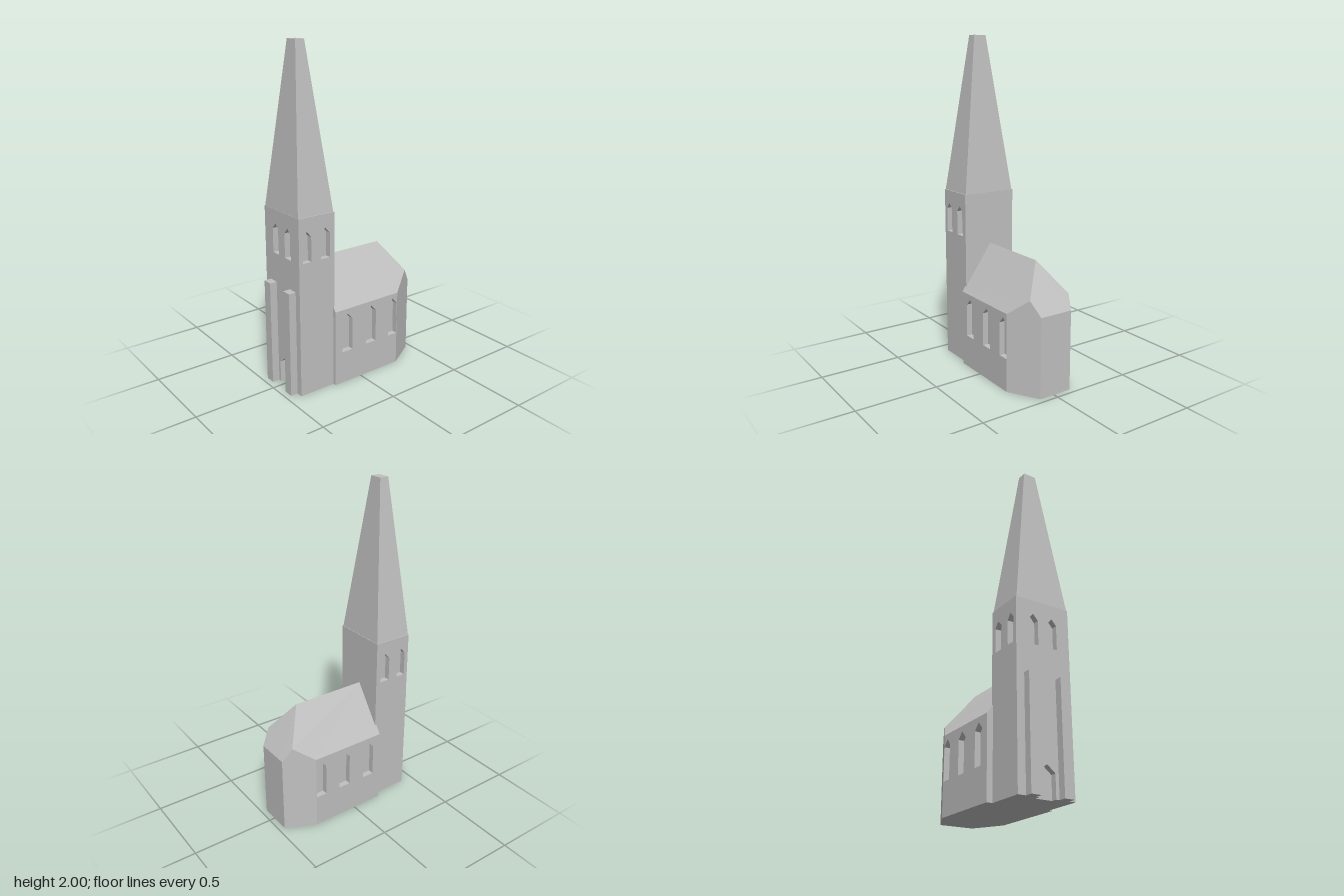
import * as THREE from 'three';

const stone = new THREE.MeshStandardMaterial({ color: 0xc0c0c0 });
stone.name = 'stone';
const D = 0.035; // depth of window and door recesses

function add(group, name, geometry) {
  const mesh = new THREE.Mesh(geometry, stone);
  mesh.name = name;
  group.add(mesh);
  return mesh;
}

// Box given by its two extreme corners
function block(x0, x1, y0, y1, z0, z1) {
  return new THREE.BoxGeometry(x1 - x0, y1 - y0, z1 - z0)
    .translate((x0 + x1) / 2, (y0 + y1) / 2, (z0 + z1) / 2);
}

// Flat convex faces, corners counter-clockwise seen from outside
function faceted(faces) {
  const p = [];
  for (const f of faces)
    for (let i = 1; i < f.length - 1; i++) p.push(...f[0], ...f[i], ...f[i + 1]);
  const g = new THREE.BufferGeometry();
  g.setAttribute('position', new THREE.Float32BufferAttribute(p, 3));
  g.computeVertexNormals();
  return g;
}

// Pointed opening between u0 and u1
function lancet(u0, u1, sill, shoulder, apex) {
  const h = new THREE.Path();
  h.moveTo(u0, sill);
  h.lineTo(u0, shoulder);
  h.lineTo((u0 + u1) / 2, apex);
  h.lineTo(u1, shoulder);
  h.lineTo(u1, sill);
  h.closePath();
  return h;
}

// Wall skin with openings; a notch at the foot makes a doorway
function wall(u0, u1, height, openings, door) {
  const s = new THREE.Shape();
  s.moveTo(u0, 0);
  if (door) {
    const [a, b, shoulder, apex] = door;
    s.lineTo(a, 0);
    s.lineTo(a, shoulder);
    s.lineTo((a + b) / 2, apex);
    s.lineTo(b, shoulder);
    s.lineTo(b, 0);
  }
  s.lineTo(u1, 0);
  s.lineTo(u1, height);
  s.lineTo(u0, height);
  s.closePath();
  s.holes.push(...openings);
  return new THREE.ExtrudeGeometry(s, { depth: D, bevelEnabled: false });
}

function makeTower() {
  const g = new THREE.Group();
  g.name = 'tower';
  const x0 = -0.42, x1 = -0.18, z0 = -0.165, z1 = 0.178, top = 1.07;
  add(g, 'towerCore', block(x0 + D, x1, 0, top, z0 + D, z1 - D));

  // Front and back walls with paired belfry windows
  const belfry = () => [[-0.395, -0.338], [-0.275, -0.212]].map(([a, b]) => lancet(a, b, 0.81, 0.955, 0.99));
  add(g, 'towerFrontWall', wall(x0, x1, top, belfry())).position.z = z1 - D;
  add(g, 'towerBackWall', wall(x0, x1, top, belfry())).position.z = z0;

  // Entrance wall with windows and doorway; u runs along +z
  const west = add(g, 'entranceWall', wall(z0 + D, z1 - D, top,
    [lancet(-0.084, -0.024, 0.81, 0.955, 0.99), lancet(0.037, 0.097, 0.81, 0.955, 0.99)],
    [-0.04, 0.06, 0.13, 0.17]));
  west.rotation.y = -Math.PI / 2;
  west.position.x = x0 + D;

  // Buttresses beside the doorway
  for (const [a, b] of [[-0.118, -0.058], [0.08, 0.138]])
    add(g, 'buttress', block(-0.465, x0, 0, 0.635, a, b));

  // Spire tapering to a flat tip
  const ring = (a, b, y, c, d) => [[a, y, d], [b, y, d], [b, y, c], [a, y, c]];
  const lo = ring(-0.419, -0.183, top, -0.16, 0.172);
  const hi = ring(-0.33, -0.274, 2, -0.035, 0.044);
  const sides = lo.map((p, i) => [p, lo[(i + 1) % 4], hi[(i + 1) % 4], hi[i]]);
  add(g, 'spire', faceted([...sides, hi]));
  return g;
}

function makeNave() {
  const g = new THREE.Group();
  g.name = 'nave';
  const x0 = -0.19, xc = 0.285, x1 = 0.465, w = 0.2, eave = 0.47, ridge = 0.75, end = 0.48;
  const ridgeStart = [x0, ridge, 0], ridgeEnd = [xc, ridge, 0];
  // Per side: apse corner and the point where the hip meets the slanted wall
  const sides = [
    { s: 1, cz: 0.095, hip: [0.406, 0.569, 0.129] },
    { s: -1, cz: -0.115, hip: [0.409, 0.561, -0.141] },
  ];
  const roof = [], body = [];
  for (const { s, cz, hip } of sides) {
    const orient = f => (s > 0 ? f : f.reverse());
    const z = s * w, zi = s * (w - D);
    roof.push(orient([[x0, eave, z], [xc, eave, z], hip, ridgeEnd, ridgeStart]));
    body.push(
      orient([[xc, 0, z], [x1, 0, cz], [x1, end, cz], hip, [xc, eave, z]]),
      orient([[x0, 0, zi], [xc, 0, zi], [xc, eave, zi], [x0, eave, zi]]));
  }
  const [l, r] = sides;
  // Hipped end of the roof
  roof.push([ridgeEnd, l.hip, [x1, end, l.cz], [x1, end, r.cz], r.hip]);
  // Apse end wall, gable against the tower, floor
  body.push(
    [[x1, 0, l.cz], [x1, 0, r.cz], [x1, end, r.cz], [x1, end, l.cz]],
    [[x0, 0, -w], [x0, 0, w], [x0, eave, w], ridgeStart, [x0, eave, -w]],
    [[x0, 0, -w], [xc, 0, -w], [x1, 0, r.cz], [x1, 0, l.cz], [xc, 0, w], [x0, 0, w]]);
  add(g, 'naveRoof', faceted(roof));
  add(g, 'naveBody', faceted(body));

  // Side walls with three pointed windows each
  const windows = () => [[-0.14, -0.065], [0.04, 0.115], [0.214, 0.282]]
    .map(([a, b]) => lancet(a, b, 0.2, 0.4, 0.44));
  add(g, 'naveFrontWall', wall(x0, xc, eave, windows())).position.z = w - D;
  add(g, 'naveBackWall', wall(x0, xc, eave, windows())).position.z = -w;
  return g;
}

export function createModel() {
  const church = new THREE.Group();
  church.name = 'church';
  church.add(makeTower(), makeNave());
  return church;
}
